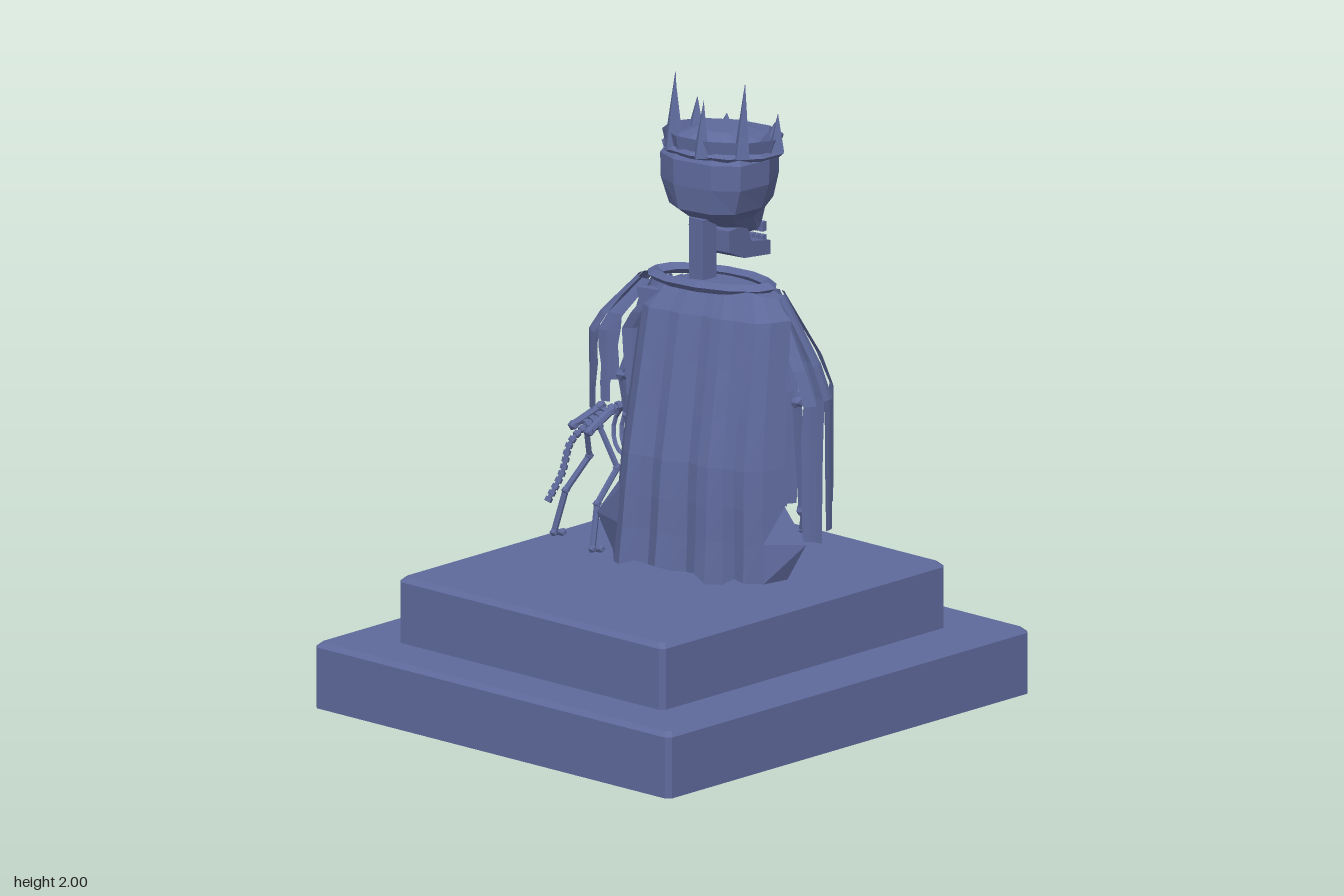
import * as THREE from 'three';

const V = (x, y, z) => new THREE.Vector3(x, y, z);
const mat = (color, side = THREE.FrontSide) => {
  const m = new THREE.MeshStandardMaterial({ color, side, flatShading: true });
  return m;
};
const stone = mat(0x5f6a9c), cloth = mat(0x5f6a9c, THREE.DoubleSide);
const yellow = mat(0xe6d800, THREE.DoubleSide), magenta = mat(0xd010c0);

let seed = 7;
const rnd = () => (seed = (seed * 16807) % 2147483647) / 2147483647;

function add(parent, name, geo, material = stone, pos = [0, 0, 0]) {
  const m = new THREE.Mesh(geo, material);
  m.name = name;
  m.position.set(...pos);
  parent.add(m);
  return m;
}
const box = (p, name, w, h, d, pos) => add(p, name, new THREE.BoxGeometry(w, h, d), stone, pos);

// Skins a stack of rings (each running from +x to +z) from bottom to top, with caps
function loft(rings) {
  const out = [], n = rings[0].length, tri = (...ps) => ps.forEach(p => out.push(p.x, p.y, p.z));
  for (let i = 0; i + 1 < rings.length; i++) for (let j = 0; j < n; j++) {
    const k = (j + 1) % n, [a, b, c, d] = [rings[i][j], rings[i][k], rings[i + 1][k], rings[i + 1][j]];
    tri(a, d, c); tri(a, c, b);
  }
  const lo = rings[0], hi = rings[rings.length - 1];
  for (let j = 1; j + 1 < n; j++) { tri(lo[0], lo[j], lo[j + 1]); tri(hi[0], hi[j + 1], hi[j]); }
  const g = new THREE.BufferGeometry();
  g.setAttribute('position', new THREE.Float32BufferAttribute(out, 3));
  g.computeVertexNormals();
  return g;
}

// Straight bone with knuckles through a list of points
function limb(p, name, pts, r) {
  const g = new THREE.Group();
  g.name = name;
  p.add(g);
  pts.forEach((q, i) => {
    add(g, 'joint', new THREE.IcosahedronGeometry(r * 1.45, 0), stone, q.toArray());
    if (!i) return;
    const d = q.clone().sub(pts[i - 1]);
    const b = add(g, 'bone', new THREE.CylinderGeometry(r, r, d.length(), 6), stone,
      q.clone().add(pts[i - 1]).multiplyScalar(0.5).toArray());
    b.quaternion.setFromUnitVectors(V(0, 1, 0), d.normalize());
  });
}

// Spine: thin cord threaded through vertebrae
function spine(p, name, pts, r, count) {
  const c = new THREE.CatmullRomCurve3(pts);
  add(p, name, new THREE.TubeGeometry(c, 24, r * 0.6, 6));
  for (let i = 0; i <= count; i++) {
    const v = add(p, 'vertebra', new THREE.CylinderGeometry(r, r, c.getLength() / count * 0.65, 6), stone,
      c.getPointAt(i / count).toArray());
    v.quaternion.setFromUnitVectors(V(0, 1, 0), c.getTangentAt(i / count));
  }
}

// Extruded outline, centred on its depth
function slab(pts, holes, depth) {
  const s = new THREE.Shape(pts.map(q => new THREE.Vector2(...q)));
  holes.forEach(h => s.holes.push(new THREE.Path(h.map(q => new THREE.Vector2(...q)))));
  return new THREE.ExtrudeGeometry(s, { depth, bevelEnabled: false }).translate(0, 0, -depth / 2);
}

function plinthStep(p, name, hx, hz, y0, y1) {
  const c = 0.015;
  const ring = (y, i) => [[hx, -hz + c], [hx, hz - c], [hx - c, hz], [-hx + c, hz], [-hx, hz - c], [-hx, -hz + c],
    [-hx + c, -hz], [hx - c, -hz]].map(([x, z]) => V(x - Math.sign(x) * i, y, z - Math.sign(z) * i));
  add(p, name, loft([ring(y0, 0), ring(y1 - c, 0), ring(y1, c)]));
}

function makeHead() {
  const h = new THREE.Group();
  h.name = 'head';
  // Cranium rings: height, back x, front x, half width
  const half = [[1, 0.25], [0.9, 0.7], [0.5, 1], [0.14, 0.85], [0, 0.4]];
  const outline = [...half, ...half.map(([x, z]) => [x, -z]).reverse()];
  const rings = [[1.47, 0.2, 0.33, 0.075], [1.53, 0.08, 0.34, 0.1], [1.57, 0.03, 0.345, 0.145], [1.65, 0.02, 0.345, 0.175],
    [1.73, 0.02, 0.345, 0.178], [1.78, 0.05, 0.31, 0.14], [1.81, 0.11, 0.25, 0.07]];
  add(h, 'skull', loft(rings.map(([y, b, f, w]) => outline.map(([t, z]) => V(b + (f - b) * t - 0.185, y, z * w)))));
  // Jaw and teeth
  add(h, 'jaw', slab([[-0.075, 1.5], [-0.07, 1.43], [0.01, 1.395], [0.15, 1.375], [0.15, 1.42], [0.05, 1.44],
    [0.02, 1.5]], [], 0.15));
  for (let i = -3; i <= 3; i++) {
    box(h, 'upperTooth', 0.02, 0.03, 0.015, [0.135, 1.465, i * 0.019]);
    box(h, 'lowerTooth', 0.02, 0.025, 0.015, [0.135, 1.425, i * 0.019]);
  }
  // Slanted eyes and nose
  for (const s of [1, -1]) {
    const e = add(h, 'eye', new THREE.ShapeGeometry(new THREE.Shape([[-0.038, 0.022], [-0.02, -0.02], [0.024, -0.022],
      [0.038, -0.002]].map(([x, y]) => new THREE.Vector2(s * x, y)))), yellow, [0.151, 1.625, s * 0.079]);
    e.rotation.y = Math.PI / 2 - s * 0.4;
  }
  const nose = add(h, 'nose', slab([[-0.018, 1.535], [0.018, 1.535], [0, 1.57]], [], 0.02), stone, [0.155, 0, 0]);
  nose.rotation.y = Math.PI / 2;
  // Crown: flared band and thin spikes
  const band = add(h, 'crownBand', new THREE.CylinderGeometry(0.178, 0.165, 0.055, 10, 1, true), cloth, [0, 1.765, 0]);
  band.scale.z = 1.08;
  band.rotation.z = -0.08;
  const rim = add(h, 'crownRim', new THREE.TorusGeometry(0.172, 0.012, 4, 10).rotateX(Math.PI / 2), stone, [0, 1.742, 0]);
  rim.scale.z = 1.08;
  rim.rotation.z = -0.08;
  const spikes = [[-0.13, -0.1, 2.0], [-0.16, 0.03, 1.93], [-0.1, 0.14, 1.99], [0.03, 0.18, 1.87], [0.0, -0.18, 1.9],
    [0.08, -0.155, 1.86], [0.15, 0.09, 1.8], [0.15, -0.09, 1.8]];
  for (const [x, z, top] of spikes) {
    const len = top - 1.75;
    const s = add(h, 'crownSpike', new THREE.ConeGeometry(0.03, len, 4).translate(0, len / 2, 0), stone, [x, 1.75, z]);
    s.rotation.z = -0.08;
  }
  h.position.set(0.185, 0, 0.04);
  h.rotation.y = 0.15;
  return h;
}

// Tattered sleeve of hanging strips around an arm
function makeArm(p, s, bottom) {
  const g = new THREE.Group();
  g.name = s > 0 ? 'leftArm' : 'rightArm';
  p.add(g);
  limb(g, 'armBones', [V(-0.02, 1.25, s * 0.2), V(-0.01, 0.98, s * 0.31), V(0.03, bottom + 0.12, s * 0.31)], 0.017);
  for (let f = -1; f <= 1; f++)
    limb(g, 'finger', [V(0.03, bottom + 0.12, s * 0.31), V(0.05, bottom + 0.05, s * 0.31 + f * 0.02)], 0.007);
  for (let k = 0; k < 8; k++) {
    const geo = new THREE.PlaneGeometry(1, 1, 2, 7), q = geo.attributes.position;
    const low = bottom + rnd() * 0.22;
    for (let i = 0; i < q.count; i++) {
      const t = 0.5 - q.getY(i), w = (0.85 - 0.45 * t) * (0.65 + 0.7 * rnd());
      const a = (k + q.getX(i) * w) * Math.PI / 4;
      const r = 0.055 + 0.05 * Math.min(1, t * 3);
      q.setXYZ(i, Math.cos(a) * r * 0.95, 1.31 + (low - 1.31) * t, s * (0.2 + 0.115 * Math.min(1, t * 2.5)) + Math.sin(a) * r);
    }
    geo.computeVertexNormals();
    add(g, 'sleeveStrip', geo, cloth);
  }
}

function makeBody() {
  const b = new THREE.Group();
  b.name = 'body';
  // Front of the robe with torn openings over the ribs and legs
  const front = [[-0.16, 0.42], [0.16, 0.42], [0.145, 0.8], [0.15, 1.05], [0.19, 1.2], [0.1, 1.24], [0, 1.2], [-0.1, 1.24],
    [-0.2, 1.2], [-0.15, 1.05], [-0.145, 0.8]];
  const tears = [1, -1].flatMap(s => [
    [[0.05, 1.13], [0.13, 1.15], [0.125, 1.06], [0.06, 1.0]].map(([x, y]) => [s * x, y]),
    [[0.07, 0.9], [0.095, 0.94], [0.1, 0.72], [0.08, 0.64]].map(([x, y]) => [s * x, y])]);
  add(b, 'robeFront', slab(front, tears, 0.03), stone, [0.1, 0, 0]).rotation.y = -Math.PI / 2;
  add(b, 'robeBack', slab([[-0.15, 0.42], [0.15, 0.42], [0.14, 1.0], [0.2, 1.3], [-0.2, 1.3], [-0.14, 1.0]], [], 0.03),
    stone, [-0.1, 0, 0]).rotation.y = -Math.PI / 2;
  // Open framed sides
  const windows = [[0.45, 0.51], [0.56, 0.63], [0.66, 0.95], [0.99, 1.17]].map(([lo, hi]) =>
    [[-0.055, lo], [0.05, lo + 0.01], [0.035, hi], [-0.045, hi - 0.01]]);
  for (const s of [1, -1])
    add(b, 'robeSide', slab([[-0.115, 0.42], [0.115, 0.42], [0.11, 1.2], [0.04, 1.28], [-0.1, 1.3]], windows, 0.02),
      stone, [0, 0, s * 0.138]);
  // Ribs, spine, collar bones
  spine(b, 'spine', [V(-0.06, 0.55, 0), V(-0.05, 0.9, 0), V(-0.06, 1.36, 0.01)], 0.025, 16);
  for (let i = 0; i < 6; i++) {
    const rib = add(b, 'rib', new THREE.TorusGeometry(0.125, 0.011, 5, 18).rotateX(Math.PI / 2), stone, [0, 1.0 + i * 0.05, 0]);
    rib.scale.set(0.68, 1, 1.05 - 0.05 * Math.abs(i - 2));
    rib.rotation.z = -0.2;
  }
  for (const s of [1, -1]) limb(b, 'collarBone', [V(0.06, 1.27, s * 0.03), V(0.02, 1.3, s * 0.12), V(-0.02, 1.26, s * 0.2)], 0.014);
  const collar = add(b, 'collar', new THREE.TorusGeometry(0.16, 0.022, 4, 12).rotateX(Math.PI / 2), stone, [-0.03, 1.335, 0.02]);
  collar.scale.set(0.6, 0.8, 1.25);
  makeArm(b, 1, 0.5);
  makeArm(b, -1, 0.72);

  // Cape: sheet falling from the shoulders with folds and a ragged hem
  const prof = [[0.0, 1.345], [-0.1, 1.35], [-0.15, 1.25], [-0.18, 1.1], [-0.21, 0.95], [-0.24, 0.8], [-0.25, 0.68],
    [-0.255, 0.57], [-0.265, 0.43]];
  const geo = new THREE.PlaneGeometry(1, 1, 14, 8), q = geo.attributes.position;
  for (let i = 0; i < q.count; i++) {
    const row = Math.floor(i / 15), u = q.getX(i) * 2, [x, y] = prof[row], t = row / 8;
    const spread = (row < 2 ? 0.21 : 0.25 + 0.06 * t) + (row === 7 && Math.abs(u) === 1 ? 0.07 : 0);
    const curl = 0.09 * u ** 6 * Math.min(1, row / 2) + 0.022 * t * Math.cos(u * 13);
    q.setXYZ(i, x + curl, y + (row === 8 ? rnd() * 0.04 : 0) - (row < 2 ? 0.04 * u * u : 0), 0.05 + u * spread);
  }
  geo.computeVertexNormals();
  add(b, 'cape', geo, cloth);
  b.position.set(0.145, 0, 0.03);
  b.rotation.y = 0.23;
  return b;
}

function makeHound() {
  const d = new THREE.Group();
  d.name = 'skeletonHound';
  spine(d, 'backbone', [V(-0.17, 0.8, 0), V(-0.05, 0.84, 0), V(0.1, 0.83, 0), V(0.21, 0.79, 0), V(0.26, 0.84, 0),
    V(0.3, 0.9, 0)], 0.016, 22);
  spine(d, 'tail', [V(-0.17, 0.8, 0), V(-0.23, 0.75, 0), V(-0.26, 0.66, 0), V(-0.31, 0.58, 0)], 0.012, 12);
  // Rib hoops, narrowing toward the rear
  for (let i = 0; i < 8; i++) {
    const k = 0.7 + 0.3 * Math.sin((i + 2) / 9 * Math.PI * 0.8);
    const rib = add(d, 'houndRib', new THREE.TorusGeometry(0.095, 0.0075, 5, 16).rotateY(Math.PI / 2), stone,
      [-0.02 + i * 0.033, 0.83 - 0.09 * k, 0]);
    rib.scale.set(1, k * 0.95, k);
    rib.rotation.z = -0.15;
  }
  limb(d, 'breastBone', [V(0.06, 0.655, 0), V(0.21, 0.68, 0)], 0.01);
  // Legs
  for (const s of [1, -1]) {
    limb(d, 'frontLeg', [V(0.2, 0.79, s * 0.05), V(0.16, 0.67, s * 0.08), V(0.2, 0.58, s * 0.09), V(0.18, 0.435, s * 0.1),
      V(0.205, 0.43, s * 0.1)], 0.01);
    limb(d, 'hindLeg', [V(-0.15, 0.8, s * 0.04), V(-0.11, 0.67, s * 0.08), V(-0.19, 0.57, s * 0.09), V(-0.22, 0.435, s * 0.11),
      V(-0.19, 0.43, s * 0.11)], 0.01);
    limb(d, 'hip', [V(-0.1, 0.84, s * 0.03), V(-0.19, 0.79, s * 0.045)], 0.013);
    add(d, 'houndEye', new THREE.OctahedronGeometry(0.011), magenta, [0.345, 0.925, s * 0.03]);
  }
  // Tapered skull and fangs
  const skull = slab([[0.28, 0.87], [0.34, 0.865], [0.43, 0.85], [0.452, 0.86], [0.455, 0.89], [0.4, 0.925], [0.34, 0.95],
    [0.285, 0.935]], [], 0.07), q = skull.attributes.position;
  for (let i = 0; i < q.count; i++) q.setZ(i, q.getZ(i) * (1 - 0.65 * Math.max(0, (q.getX(i) - 0.34) / 0.115)));
  skull.computeVertexNormals();
  add(d, 'houndSkull', skull);
  for (const s of [1, -1]) box(d, 'fang', 0.008, 0.02, 0.006, [0.44, 0.845, s * 0.01]);
  d.position.set(0.2, 0, -0.35);
  d.rotation.y = -0.25;
  return d;
}

export function createModel() {
  const g = new THREE.Group();
  g.name = 'skeletonKingStatue';
  plinthStep(g, 'lowerPlinth', 0.815, 0.75, 0, 0.21);
  plinthStep(g, 'upperPlinth', 0.64, 0.56, 0.21, 0.42);
  box(g, 'neck', 0.06, 0.2, 0.06, [0.085, 1.44, 0.05]);
  g.add(makeHead(), makeBody(), makeHound());
  return g;
}
